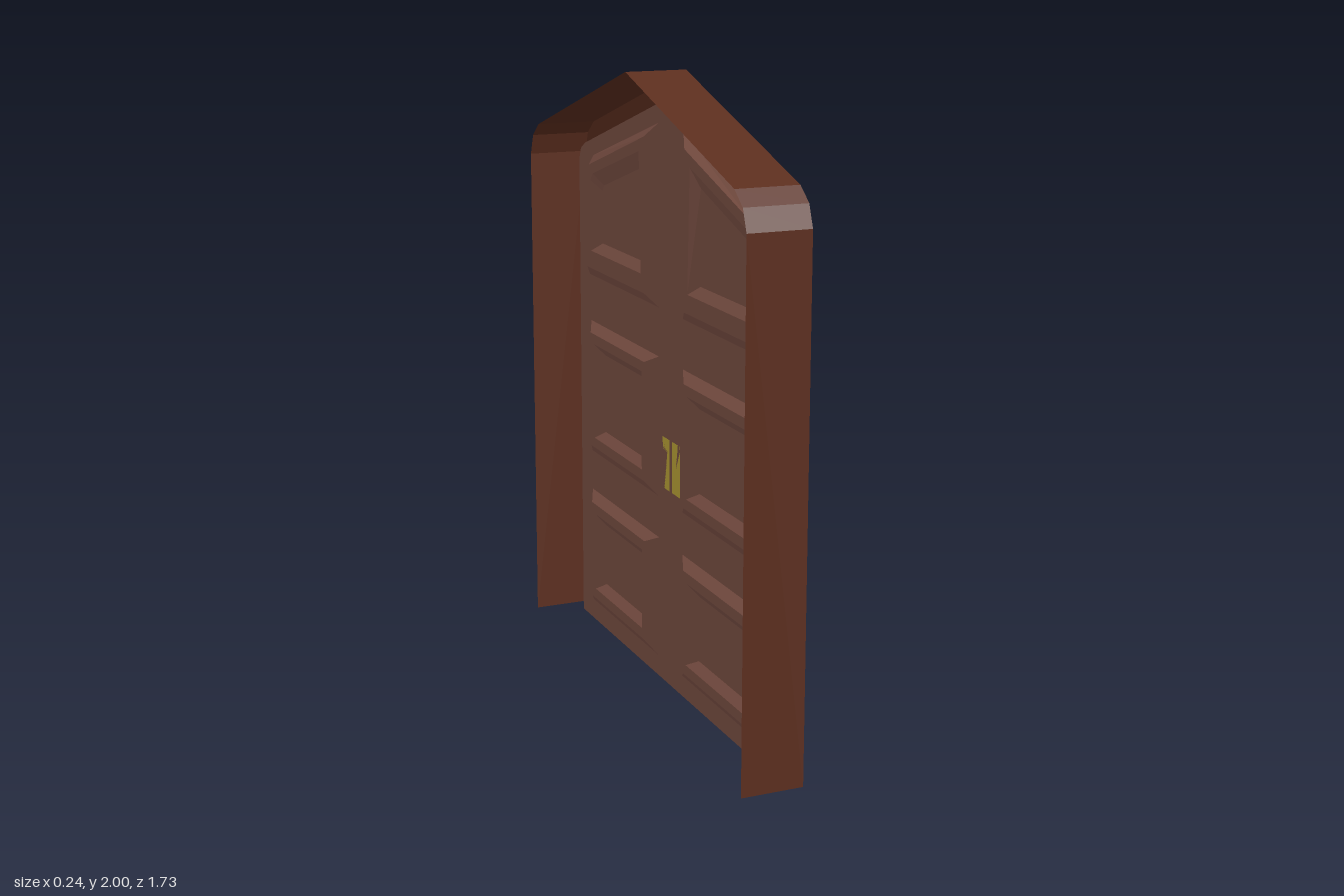
import * as THREE from 'three';
import { mergeGeometries } from 'three/addons/utils/BufferGeometryUtils.js';
import { RoundedBoxGeometry } from 'three/addons/geometries/RoundedBoxGeometry.js';

const mat = (color, flatShading = true) =>
  new THREE.MeshStandardMaterial({ color, flatShading, side: THREE.DoubleSide });
const frameMat = mat(0x5c2e1e);
const doorMat = mat(0x85574a);
const brassMat = mat(0xcbb13c, false);

// Depths, measured along the door's facing direction
const BACK = -0.125, LIP = 0.075, FACE = 0.025, SUNK = 0.0, FIELD = 0.022;

const mirror = (pts) => pts.map(([u, y]) => [-u, y]).reverse();
const toShape = (pts) => new THREE.Shape(pts.map(([u, y]) => new THREE.Vector2(u, y)));

// Band of quads between two outlines at their own depths
function band(a, da, b, db, closed = true) {
  const pos = [];
  const n = closed ? a.length : a.length - 1;
  for (let i = 0; i < n; i++) {
    const j = (i + 1) % a.length;
    const A = [...a[i], da], B = [...a[j], da], C = [...b[j], db], D = [...b[i], db];
    pos.push(...A, ...B, ...C, ...A, ...C, ...D);
  }
  const g = new THREE.BufferGeometry();
  g.setAttribute('position', new THREE.Float32BufferAttribute(pos, 3));
  g.computeVertexNormals();
  return g;
}

// Flat sheet with optional holes
function sheet(pts, depth, holes = []) {
  const shape = toShape(pts);
  for (const h of holes) shape.holes.push(toShape(h));
  const g = new THREE.ShapeGeometry(shape).toNonIndexed();
  g.deleteAttribute('uv');
  return g.translate(0, 0, depth);
}

function add(parent, name, geometry, material) {
  const m = new THREE.Mesh(geometry, material);
  m.name = name;
  parent.add(m);
  return m;
}

const rect = (u0, u1, y0, y1) => [[u0, y0], [u1, y0], [u1, y1], [u0, y1]];

// Each panel: opening, sunk floor edge, foot of the raised field, top of the field
const squarePanel = (y0, y1) => [
  rect(0.095, 0.69, y0, y1),
  rect(0.16, 0.635, y0 + 0.035, y1 - 0.03),
  rect(0.18, 0.605, y0 + 0.07, y1 - 0.065),
  rect(0.235, 0.555, y0 + 0.1, y1 - 0.095),
];
const panels = {
  lowerPanel: squarePanel(0.07, 0.48),
  middlePanel: squarePanel(0.62, 1.085),
  upperPanel: [
    [[0.095, 1.245], [0.7, 1.245], [0.7, 1.62], [0.66, 1.658], [0.095, 1.83]],
    [[0.16, 1.28], [0.66, 1.28], [0.66, 1.6], [0.64, 1.63], [0.16, 1.78]],
    [[0.185, 1.34], [0.625, 1.34], [0.625, 1.58], [0.605, 1.605], [0.2, 1.73]],
    [[0.235, 1.372], [0.57, 1.372], [0.57, 1.55], [0.555, 1.57], [0.235, 1.67]],
  ],
};

// Half outlines of the frame, from the floor up to the peak
const outerHalf = [[0.865, 0], [0.865, 1.645], [0.84, 1.712], [0.785, 1.755], [0, 2]];
const innerHalf = [[0.793, 0], [0.793, 1.63], [0.778, 1.668], [0.74, 1.69], [0, 1.92]];
const whole = (half) => [...half, ...mirror(half).slice(1)];

function makeFrame() {
  const outer = whole(outerHalf), inner = whole(innerHalf);
  const frame = new THREE.Group();
  frame.name = 'frame';
  add(frame, 'frameOuterWall', band(outer, BACK, outer, LIP, false), frameMat);
  add(frame, 'frameFace', band(outer, LIP, inner, LIP, false), frameMat);
  add(frame, 'frameReveal', band(inner, LIP, inner, FACE, false), frameMat);
  return frame;
}

function makeLeaf(side) {
  const flip = (pts) => (side > 0 ? pts : mirror(pts));
  const leaf = new THREE.Group();
  leaf.name = side > 0 ? 'rightLeaf' : 'leftLeaf';
  const openings = Object.values(panels).map((p) => flip(p[0]));
  add(leaf, 'leafFace', sheet(flip([[0, 0], ...innerHalf]), FACE, openings), doorMat);
  for (const [name, rings] of Object.entries(panels)) {
    const [open, floor, foot, top] = rings.map(flip);
    add(leaf, name, mergeGeometries([
      band(open, FACE, floor, SUNK),
      band(floor, SUNK, foot, SUNK),
      band(foot, SUNK, top, FIELD),
      sheet(top, FIELD),
    ]), doorMat);
  }
  leaf.add(makeHandle(side));
  return leaf;
}

function makeHandle(side) {
  const handle = new THREE.Group();
  handle.name = 'handle';
  add(handle, 'handlePlate', new THREE.BoxGeometry(0.064, 0.17, 0.012), brassMat)
    .position.set(side * 0.042, 0.745, FACE + 0.006);
  const spindle = new THREE.CylinderGeometry(0.01, 0.01, 0.06, 12).rotateX(Math.PI / 2);
  add(handle, 'handleSpindle', spindle, brassMat).position.set(side * 0.042, 0.745, 0.06);
  add(handle, 'handleHub', new RoundedBoxGeometry(0.028, 0.03, 0.042, 2, 0.006), brassMat)
    .position.set(side * 0.042, 0.745, 0.098);
  // Curved lever, drooping towards its tip
  const path = new THREE.CatmullRomCurve3(
    [[0.042, 0.745], [0.085, 0.752], [0.13, 0.748], [0.17, 0.73]]
      .map(([u, y]) => new THREE.Vector3(side * u, y, 0.095)));
  add(handle, 'handleLever', new THREE.TubeGeometry(path, 16, 0.008, 10), brassMat);
  add(handle, 'handleTip', new THREE.SphereGeometry(0.008, 10, 8), brassMat)
    .position.set(side * 0.17, 0.73, 0.095);
  return handle;
}

export function createModel() {
  const model = new THREE.Group();
  model.name = 'doubleDoor';
  model.add(makeFrame(), makeLeaf(1), makeLeaf(-1));
  // The door faces sideways, along +x
  model.rotation.y = Math.PI / 2;
  const root = new THREE.Group();
  root.add(model);
  return root;
}
